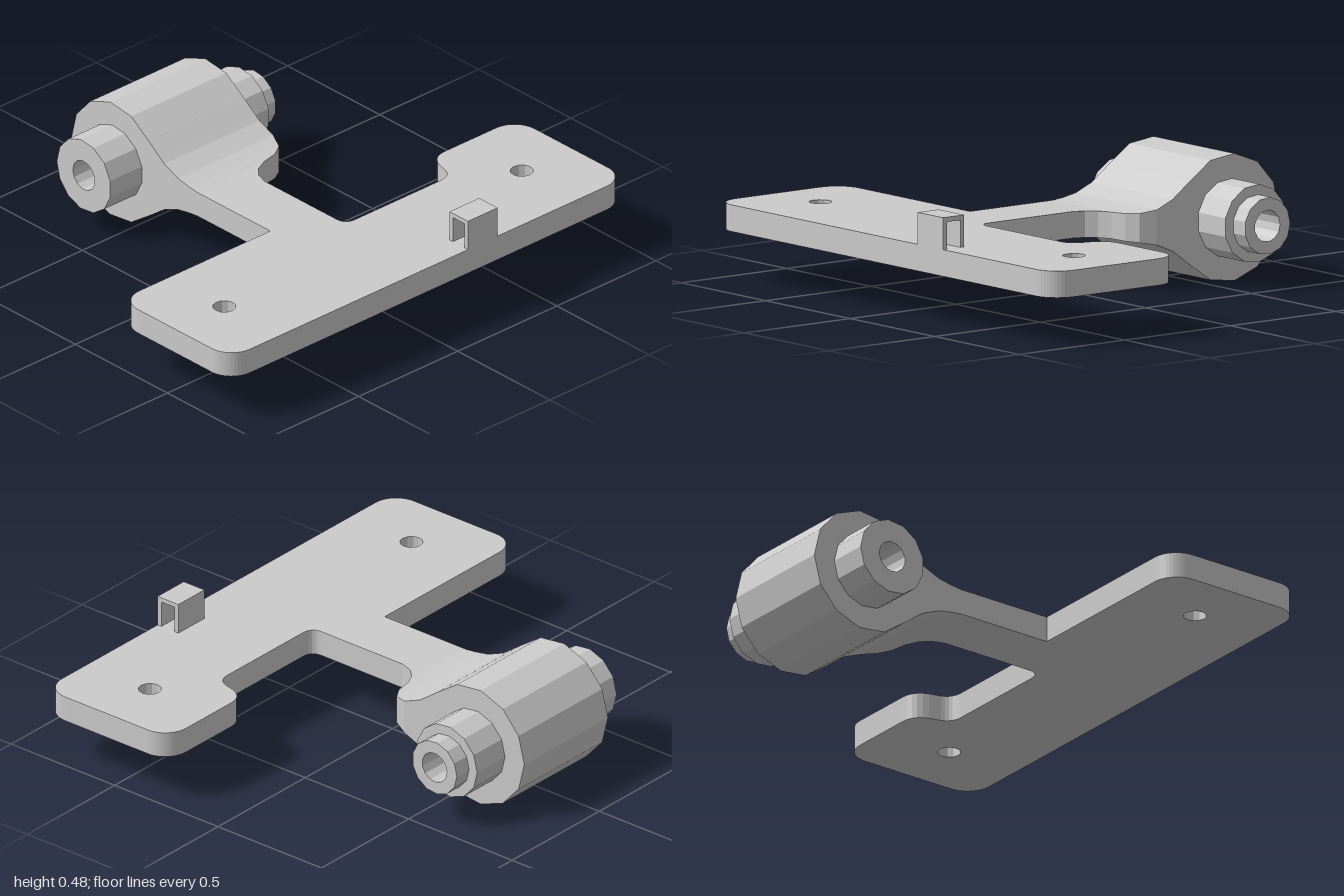
import * as THREE from 'three';

const material = new THREE.MeshStandardMaterial({ color: 0xcccccc, flatShading: true, side: THREE.DoubleSide });
const AXIS_Y = 0.24, AXIS_Z = -0.6, TOP = 0.29;

function part(name, geometry, group) {
  const mesh = new THREE.Mesh(geometry, material);
  mesh.name = name;
  group.add(mesh);
  return mesh;
}

// Flat T-shaped plate, drawn with the shape's y standing for z
function plateGeometry() {
  const s = new THREE.Shape();
  s.moveTo(-0.24, -0.05);
  s.lineTo(0, -0.05);
  s.lineTo(0, 0.34);
  s.quadraticCurveTo(0, 0.39, 0.05, 0.39);
  s.lineTo(0.49, 0.39);
  s.quadraticCurveTo(0.54, 0.385, 0.55, 0.33);
  s.quadraticCurveTo(0.565, 0.24, 0.64, 0.24);
  s.lineTo(0.9, 0.24);
  s.absarc(0.9, 0.34, 0.1, -Math.PI / 2, 0);
  s.absarc(0.9, 0.74, 0.1, 0, Math.PI / 2);
  s.absarc(-0.9, 0.74, 0.1, Math.PI / 2, Math.PI);
  s.absarc(-0.9, 0.34, 0.1, Math.PI, Math.PI * 1.5);
  s.lineTo(-0.24, 0.24);
  for (const x of [-0.75, 0.75]) {
    const hole = new THREE.Path();
    hole.absarc(x, 0.54, 0.043, 0, Math.PI * 2, true);
    s.holes.push(hole);
  }
  return new THREE.ExtrudeGeometry(s, { depth: 0.1, bevelEnabled: false, curveSegments: 6 }).rotateX(Math.PI / 2);
}

// Neck lofted through rectangular sections: [z, right edge x, half thickness]
function neckGeometry() {
  const stations = [
    [-0.05, 0, 0.05], [-0.1, 0.017, 0.05], [-0.135, 0.05, 0.05], [-0.158, 0.1, 0.05],
    [-0.17, 0.165, 0.052], [-0.2, 0.213, 0.055], [-0.26, 0.24, 0.066],
    [-0.335, 0.24, 0.097], [-0.36, 0.24, 0.115], [-0.42, 0.24, 0.159],
  ];
  const positions = [], index = [];
  stations.forEach(([z, x, h], i) => {
    positions.push(-0.24, AXIS_Y + h, z, x, AXIS_Y + h, z, x, AXIS_Y - h, z, -0.24, AXIS_Y - h, z);
    if (i === 0) return;
    for (let k = 0; k < 4; k++) {
      const a = (i - 1) * 4 + k, b = (i - 1) * 4 + (k + 1) % 4;
      index.push(a, b, b + 4, a, b + 4, a + 4);
    }
  });
  const g = new THREE.BufferGeometry();
  g.setAttribute('position', new THREE.Float32BufferAttribute(positions, 3));
  g.setIndex(index);
  g.computeVertexNormals();
  return g;
}

// Stepped 13-sided barrel with pegs, end tip and a stepped bore: [radius, x]
function barrelGeometry() {
  const profile = [
    [0.06, -0.4], [0.147, -0.4], [0.147, -0.24], [0.24, -0.24], [0.24, 0.24], [0.147, 0.24],
    [0.147, 0.4], [0.108, 0.4], [0.108, 0.47], [0.06, 0.47],
    [0.06, 0.24], [0.037, 0.24], [0.037, -0.24], [0.06, -0.24], [0.06, -0.4],
  ].map(([r, x]) => new THREE.Vector2(r, x));
  return new THREE.LatheGeometry(profile, 13).rotateY(Math.PI).rotateZ(-Math.PI / 2);
}

// Small square loop, open along x
function loopGeometry() {
  const s = new THREE.Shape();
  s.moveTo(-0.84, 0.28).lineTo(-0.74, 0.28).lineTo(-0.74, 0.41).lineTo(-0.84, 0.41);
  const hole = new THREE.Path();
  hole.moveTo(-0.822, 0.29).lineTo(-0.822, 0.392).lineTo(-0.758, 0.392).lineTo(-0.758, 0.29);
  s.holes.push(hole);
  return new THREE.ExtrudeGeometry(s, { depth: 0.15, bevelEnabled: false }).rotateY(Math.PI / 2);
}

export function createModel() {
  const group = new THREE.Group();
  group.name = 'hingeBracket';
  part('mountingPlate', plateGeometry(), group).position.y = TOP;
  part('neck', neckGeometry(), group);
  part('hingeBarrel', barrelGeometry(), group).position.set(0, AXIS_Y, AXIS_Z);
  part('frontLoop', loopGeometry(), group).position.x = 0.2;
  return group;
}
